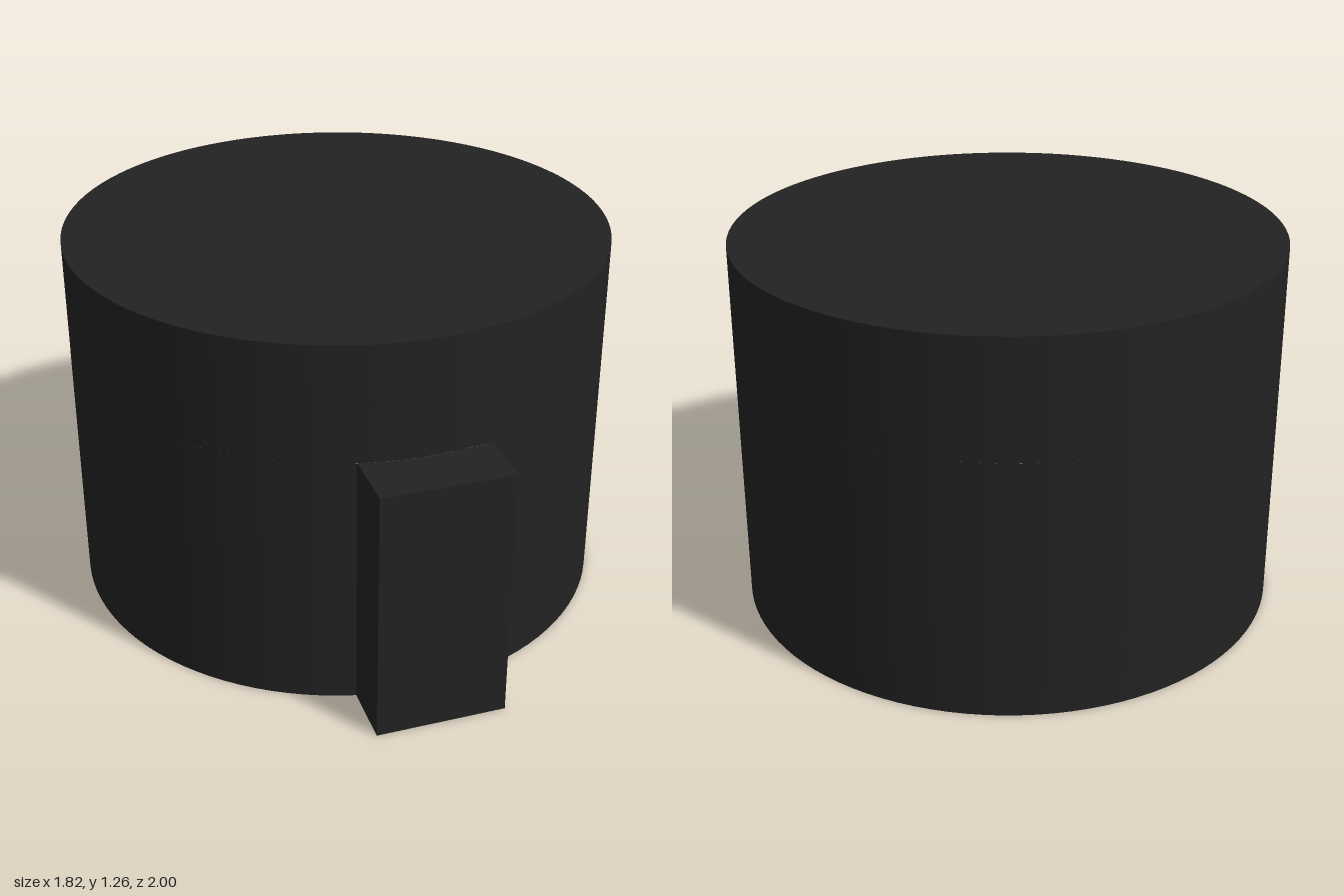
import * as THREE from 'three';

const R = 0.91, H = 1.26;            // drum radius and height
const W = 0.215, F = 1.09, PH = 0.87; // porch half width, front distance from drum axis, height
const A = Math.asin(W / R);          // half angle of the doorway
const B = Math.asin(0.44 / R);       // half angle reached by the ground flaps
const DOWN = -Math.PI / 2;

export function createModel() {
  const group = new THREE.Group();
  const material = new THREE.MeshStandardMaterial({ color: 0x222222, side: THREE.DoubleSide });

  const add = (name, geometry, x = 0, y = 0, z = 0) => {
    const mesh = new THREE.Mesh(geometry, material);
    mesh.name = name;
    mesh.position.set(x, y, z);
    group.add(mesh);
    return mesh;
  };
  const flat = (shape) => new THREE.ShapeGeometry(shape, 24).rotateX(-Math.PI / 2);

  // Open-bottomed drum with a doorway cut in the front
  add('lowerWall', new THREE.CylinderGeometry(R, R, PH, 96, 1, true, A, 2 * Math.PI - 2 * A), 0, PH / 2);
  add('upperWall', new THREE.CylinderGeometry(R, R, H - PH, 96, 1, true, A, 2 * Math.PI), 0, (H + PH) / 2);
  add('roof', new THREE.CircleGeometry(R, 96).rotateX(-Math.PI / 2), 0, H);

  // Hollow porch, open to the drum and the ground
  const inner = R * Math.cos(A);
  add('porchFront', new THREE.PlaneGeometry(2 * W, PH), 0, PH / 2, F);
  const porchTop = new THREE.Shape();
  porchTop.moveTo(-W, -F);
  porchTop.lineTo(W, -F);
  porchTop.absarc(0, 0, R, DOWN + A, DOWN - A, true);
  add('porchRoof', flat(porchTop), 0, PH);

  // Thin ground flap beside the porch, bounded by the drum
  const flap = new THREE.Shape();
  flap.moveTo(W, -F);
  flap.absarc(0, 0, R, DOWN + B, DOWN + A, true);
  const flapGeometry = flat(flap);

  for (const [side, s] of [['left', 1], ['right', -1]]) {
    const wall = new THREE.PlaneGeometry(F - inner, PH).rotateY(s * Math.PI / 2);
    add(side + 'PorchWall', wall, s * W, PH / 2, (F + inner) / 2);
    add(side + 'GroundFlap', flapGeometry, 0, 0.001).scale.x = s;
  }

  group.children.forEach((mesh) => { mesh.position.z -= 0.09; });
  return group;
}
